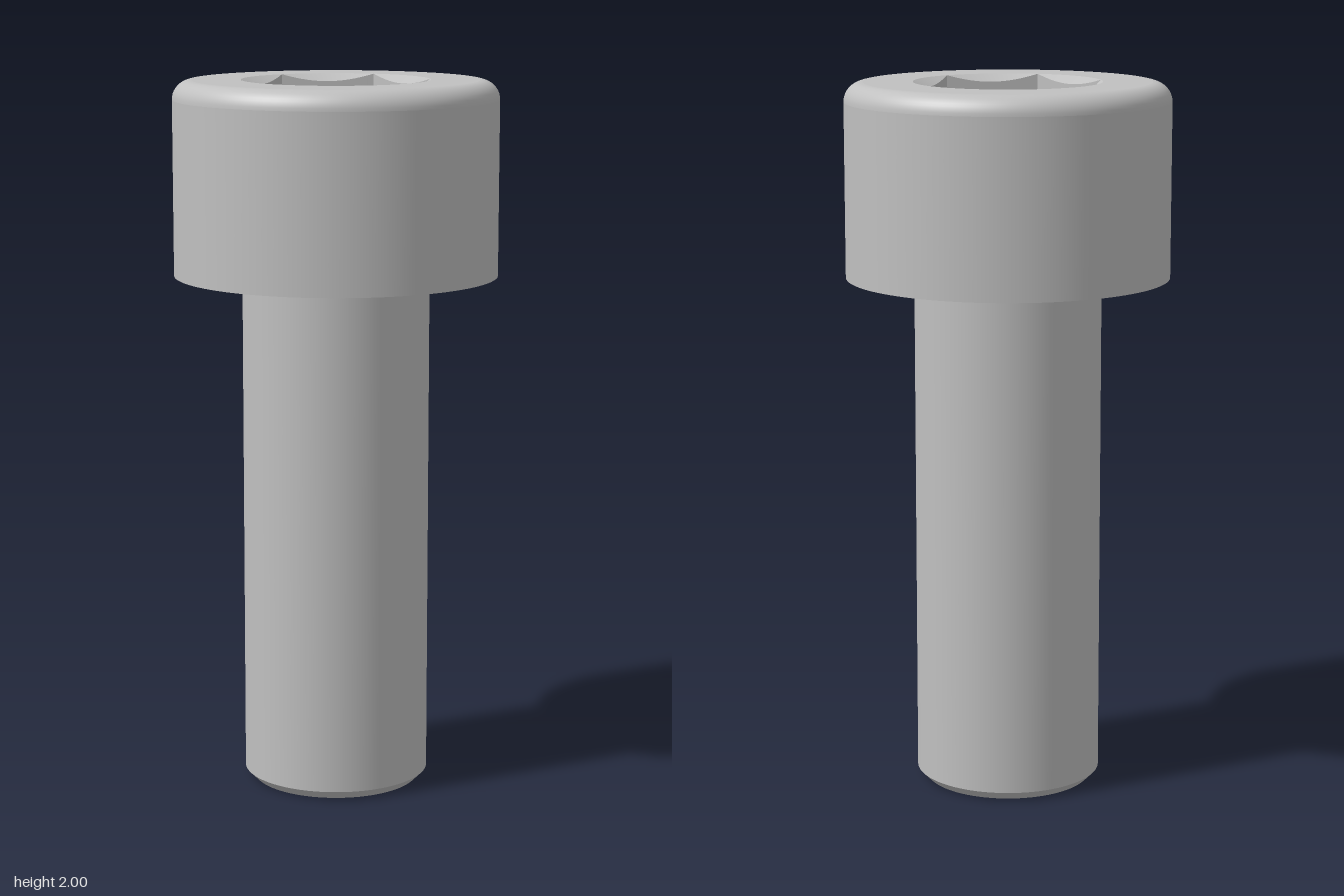
import * as THREE from 'three';

const SEG = 96;
const TAN30 = Math.tan(Math.PI / 6);

// main dimensions
const HEAD_R = 0.453, HEAD_Y = 1.458, TOP = 2, ROUND = 0.054;
const SHANK_R = 0.262, CHAMFER = 0.026, FILLET = 0.02;
const FLAT = 0.227, CORNER = FLAT / Math.cos(Math.PI / 6);
const FLOOR_Y = TOP - 0.27;

// quarter arc profile from angle a0 to a1
function arc(cx, cy, r, a0, a1, n = 10) {
  return Array.from({ length: n + 1 }, (_, i) => {
    const a = a0 + (a1 - a0) * i / n;
    return [cx + r * Math.cos(a), cy + r * Math.sin(a)];
  });
}

// surface between two edges, each giving [radius, height] at an angle
function polarStrip(upper, lower, start, n = 16) {
  const pos = [], index = [];
  for (let i = 0; i <= n; i++) {
    const off = (i / n - 0.5) * Math.PI / 3;
    const phi = start + Math.PI / 6 + off;
    for (const edge of [upper, lower]) {
      const [r, y] = edge(off);
      pos.push(r * Math.sin(phi), y, r * Math.cos(phi));
    }
    if (i < n) {
      const a = 2 * i, b = a + 2;
      index.push(a, b, a + 1, b + 1, a + 1, b);
    }
  }
  const g = new THREE.BufferGeometry();
  g.setAttribute('position', new THREE.Float32BufferAttribute(pos, 3));
  g.setIndex(index);
  g.computeVertexNormals();
  return g;
}

export function createModel() {
  const model = new THREE.Group();
  model.name = 'socketHeadBolt';
  const steel = new THREE.MeshStandardMaterial({ color: 0xc0c0c0 });
  steel.name = 'steel';

  const add = (parent, name, geometry) => {
    const mesh = new THREE.Mesh(geometry, steel);
    mesh.name = name;
    parent.add(mesh);
  };
  const group = (name) => {
    const g = new THREE.Group();
    g.name = name;
    model.add(g);
    return g;
  };
  // each turned face is its own lathe, so the edges between them stay sharp
  const turn = (parent, name, points) =>
    add(parent, name, new THREE.LatheGeometry(points.map(p => new THREE.Vector2(...p)), SEG));

  // shank
  const shank = group('shank');
  turn(shank, 'shankEnd', [[0, 0], [SHANK_R - CHAMFER, 0]]);
  turn(shank, 'shankChamfer', [[SHANK_R - CHAMFER, 0], [SHANK_R, CHAMFER]]);
  turn(shank, 'shankSide', [[SHANK_R, CHAMFER], [SHANK_R, HEAD_Y - FILLET]]);
  turn(shank, 'neckFillet', arc(SHANK_R + FILLET, HEAD_Y - FILLET, FILLET, Math.PI, Math.PI / 2));

  // head
  const head = group('head');
  turn(head, 'headUnderside', [[SHANK_R + FILLET, HEAD_Y], [HEAD_R, HEAD_Y]]);
  turn(head, 'headSide', [[HEAD_R, HEAD_Y], [HEAD_R, TOP - ROUND]]);
  turn(head, 'headRound', arc(HEAD_R - ROUND, TOP - ROUND, ROUND, 0, Math.PI / 2));
  turn(head, 'headTop', [[HEAD_R - ROUND, TOP], [CORNER, TOP]]);

  // hex socket: countersunk rim, six walls, floor corners and drill cone
  const socket = group('socket');
  const hexR = (off) => FLAT / Math.cos(off);
  const rim = () => [CORNER, TOP];
  const wallTop = (off) => [hexR(off), TOP - (CORNER - hexR(off)) * TAN30];
  const wallBottom = (off) => [hexR(off), FLOOR_Y];
  const drillEdge = () => [FLAT, FLOOR_Y];
  for (let k = 0; k < 6; k++) {
    const start = k * Math.PI / 3;
    add(socket, 'socketCountersink', polarStrip(rim, wallTop, start));
    add(socket, 'socketWall', polarStrip(wallTop, wallBottom, start));
    add(socket, 'socketFloor', polarStrip(wallBottom, drillEdge, start));
  }
  turn(socket, 'drillCone', [[FLAT, FLOOR_Y], [0, FLOOR_Y - FLAT * TAN30]]);

  return model;
}
